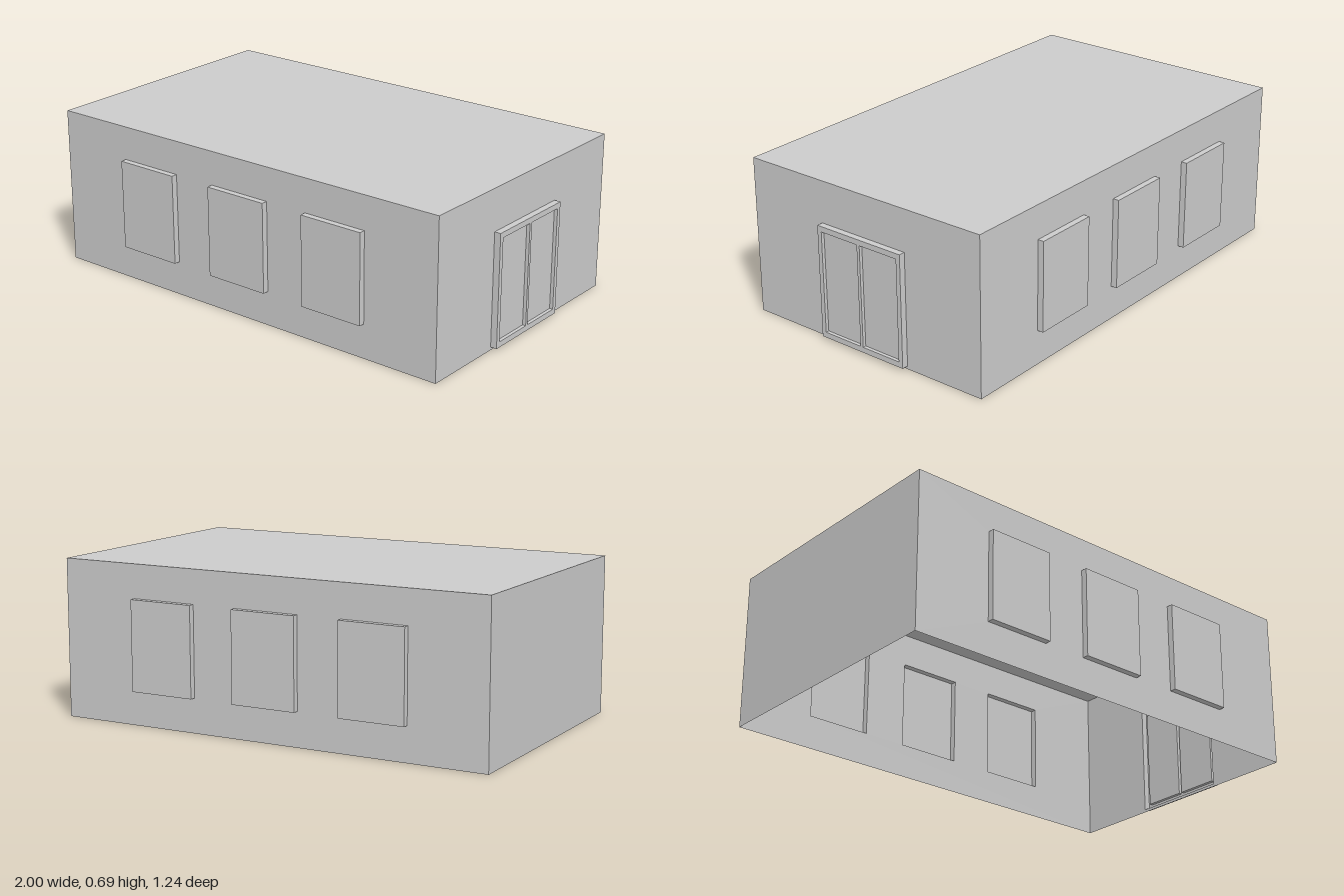
import * as THREE from 'three';
import { mergeGeometries } from 'three/addons/utils/BufferGeometryUtils.js';

const material = new THREE.MeshStandardMaterial({ color: 0xcccccc, flatShading: true, side: THREE.DoubleSide });

const X0 = -1, X1 = 0.972, DEPTH = 1.184, HEIGHT = 0.69;
const LENGTH = X1 - X0, MID = (X0 + X1) / 2;

// A rectangle is [left, bottom, right, top] in the plane of its wall.
function trace(path, [l, b, r, t]) {
  path.moveTo(l, b);
  path.lineTo(r, b);
  path.lineTo(r, t);
  path.lineTo(l, t);
  path.closePath();
  return path;
}

// Flat sheet with rectangular openings, at distance z.
function sheet(rect, holes = [], z = 0) {
  const shape = trace(new THREE.Shape(), rect);
  for (const hole of holes) shape.holes.push(trace(new THREE.Path(), hole));
  return new THREE.ShapeGeometry(shape).translate(0, 0, z);
}

// Four edge strips joining a rectangle at z0 to the same rectangle at z1.
function rim([l, b, r, t], z0, z1) {
  const w = r - l, h = t - b, d = z1 - z0;
  const cx = (l + r) / 2, cy = (b + t) / 2, cz = (z0 + z1) / 2;
  return mergeGeometries([
    new THREE.PlaneGeometry(w, d).rotateX(-Math.PI / 2).translate(cx, t, cz),
    new THREE.PlaneGeometry(w, d).rotateX(Math.PI / 2).translate(cx, b, cz),
    new THREE.PlaneGeometry(d, h).rotateY(Math.PI / 2).translate(r, cy, cz),
    new THREE.PlaneGeometry(d, h).rotateY(-Math.PI / 2).translate(l, cy, cz),
  ]);
}

function add(parent, name, ...geometries) {
  const mesh = new THREE.Mesh(mergeGeometries(geometries), material);
  mesh.name = name;
  parent.add(mesh);
  return mesh;
}

// Long wall with three windows pushed outwards from its surface.
function longWall(name) {
  const wall = new THREE.Group();
  wall.name = name;
  const windows = [-0.492, 0, 0.492].map((x) => [x - 0.147, 0.15, x + 0.147, 0.543]);
  add(wall, 'wallSheet', sheet([-LENGTH / 2, 0, LENGTH / 2, HEIGHT], windows));
  for (const w of windows) add(wall, 'window', sheet(w, [], 0.027), rim(w, 0, 0.027));
  return wall;
}

// End wall with a raised door frame and two recessed door leaves.
function doorWall() {
  const wall = new THREE.Group();
  wall.name = 'doorWall';
  const out = 1 - X1, recess = 0.013;
  const frame = [-0.217, 0.013, 0.217, 0.507];
  const leaves = [[-0.197, 0.037, -0.007, 0.483], [0.007, 0.037, 0.197, 0.483]];
  add(wall, 'wallSheet', sheet([-DEPTH / 2, 0, DEPTH / 2, HEIGHT], [frame]));
  add(wall, 'doorFrame', sheet(frame, leaves, out), rim(frame, 0, out));
  for (const leaf of leaves) add(wall, 'doorLeaf', sheet(leaf, [], recess), rim(leaf, recess, out));
  return wall;
}

export function createModel() {
  const model = new THREE.Group();
  model.name = 'building';

  // Long sides
  const front = longWall('frontWall');
  front.position.set(MID, 0, DEPTH / 2);
  const back = longWall('backWall');
  back.position.set(MID, 0, -DEPTH / 2);
  back.rotation.y = Math.PI;

  // Ends
  const door = doorWall();
  door.position.x = X1;
  door.rotation.y = Math.PI / 2;
  const blank = add(model, 'blankWall', sheet([-DEPTH / 2, 0, DEPTH / 2, HEIGHT]));
  blank.position.x = X0;
  blank.rotation.y = -Math.PI / 2;

  // Flat roof; the underside of the building stays open
  const roof = add(model, 'roof', new THREE.PlaneGeometry(LENGTH, DEPTH));
  roof.position.set(MID, HEIGHT, 0);
  roof.rotation.x = -Math.PI / 2;

  model.add(front, back, door);
  return model;
}
